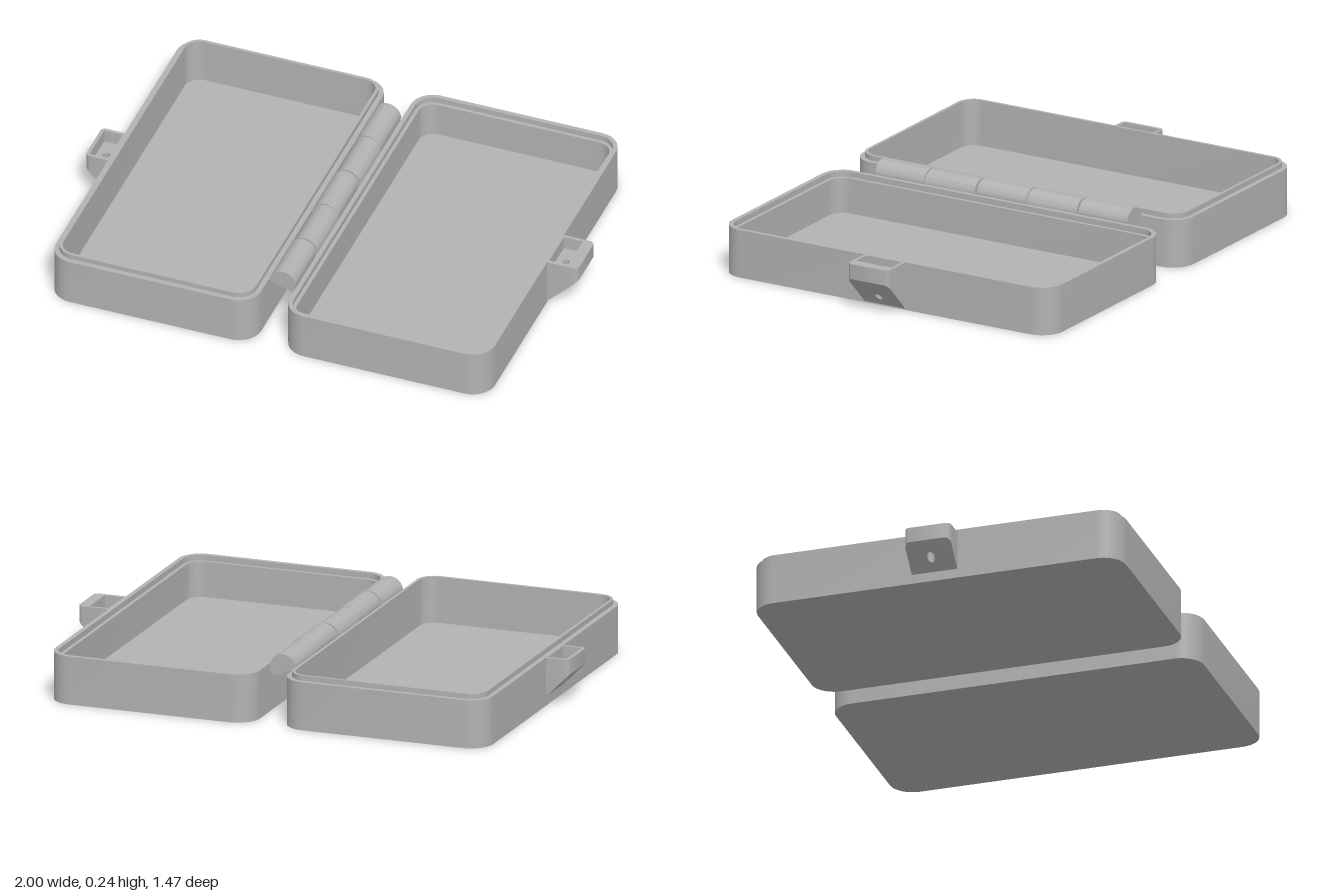
import * as THREE from 'three';
import { toCreasedNormals } from 'three/addons/utils/BufferGeometryUtils.js';

const HALF_W = 0.4165, HALF_L = 0.735, CORNER = 0.09, RIM = 0.19;

// Rounded rectangle ring at a given inset from the tray's outer wall
function ring(inset, y) {
  const points = [], steps = 10, r = CORNER - inset;
  for (let q = 0; q < 4; q++) {
    const sx = q === 0 || q === 3 ? 1 : -1, sz = q < 2 ? 1 : -1;
    for (let i = 0; i <= steps; i++) {
      const a = (q + i / steps) * Math.PI / 2;
      points.push([sx * (HALF_W - CORNER) + r * Math.cos(a), y, sz * (HALF_L - CORNER) + r * Math.sin(a)]);
    }
  }
  return points;
}

// Closed tray skin: the wall profile is swept round, with a fan for the bottom and floor
function trayGeometry(wall) {
  const floorY = 0.028, inner = 0.032;
  const rings = [[0, 0], ...wall, [inner, floorY]].map(([inset, y]) => ring(inset, y));
  const n = rings[0].length;
  rings.unshift(Array(n).fill([0, 0, 0]));
  rings.push(Array(n).fill([0, floorY, 0]));
  const pos = [];
  for (let k = 0; k < rings.length - 1; k++) {
    const a = rings[k], b = rings[k + 1];
    for (let j = 0; j < n; j++) {
      const m = (j + 1) % n;
      if (k > 0) pos.push(...a[j], ...b[j], ...a[m]);
      if (k < rings.length - 2) pos.push(...a[m], ...b[j], ...b[m]);
    }
  }
  const g = new THREE.BufferGeometry();
  g.setAttribute('position', new THREE.Float32BufferAttribute(pos, 3));
  return toCreasedNormals(g, 0.5);
}

// Hinge knuckle: round barrel with a 45 degree gusset back to a wall on its +x side
function knuckleGeometry(reach, length) {
  const r = 0.052;
  const s = new THREE.Shape();
  s.moveTo(reach, -Math.SQRT2 * r - reach);
  s.absarc(0, 0, r, Math.PI * 1.25, 0, true);
  s.lineTo(reach, 0);
  s.closePath();
  const g = new THREE.ExtrudeGeometry(s, { depth: length, bevelEnabled: false, curveSegments: 32 });
  g.translate(0, 0, -length / 2);
  return toCreasedNormals(g, 0.5);
}

// Latch outline seen from above, growing from the wall towards +x
function latchOutline(depth) {
  const w = 0.091, r = 0.02;
  const s = new THREE.Shape();
  s.moveTo(0, -w);
  s.lineTo(depth - r, -w);
  s.absarc(depth - r, -w + r, r, -Math.PI / 2, 0, false);
  s.absarc(depth - r, w - r, r, 0, Math.PI / 2, false);
  s.lineTo(0, w);
  s.closePath();
  return s;
}

function extrudeUp(shape, y0, y1) {
  const g = new THREE.ExtrudeGeometry(shape, { depth: y1 - y0, bevelEnabled: false, curveSegments: 10 });
  g.rotateX(-Math.PI / 2);
  g.translate(0, y0, 0);
  return g;
}

// Latch: pocketed top over a sloping base with a small through hole
function makeLatch(name, depth, material) {
  const latch = new THREE.Group();
  latch.name = name;
  const pocketFloor = 0.138;

  const rimShape = latchOutline(depth);
  const pocket = new THREE.Path();
  pocket.moveTo(0.004, -0.078);
  pocket.lineTo(0.004, 0.078);
  pocket.lineTo(0.08, 0.078);
  pocket.lineTo(0.08, -0.078);
  pocket.closePath();
  rimShape.holes.push(pocket);
  const rim = new THREE.Mesh(toCreasedNormals(extrudeUp(rimShape, pocketFloor, RIM), 0.5), material);
  rim.name = 'latchPocketRim';

  const baseShape = latchOutline(depth);
  const hole = new THREE.Path();
  hole.absarc(0.043, 0, 0.015, 0, Math.PI * 2, true);
  baseShape.holes.push(hole);
  const g = extrudeUp(baseShape, 0, pocketFloor);
  const p = g.attributes.position;
  for (let i = 0; i < p.count; i++) {
    if (p.getY(i) < 0.01) p.setY(i, 0.13 - (depth - p.getX(i)));
  }
  const base = new THREE.Mesh(toCreasedNormals(g, 0.5), material);
  base.name = 'latchSlopedBase';
  latch.add(rim, base);
  return latch;
}

export function createModel() {
  const model = new THREE.Group();
  model.name = 'openHingedCase';
  const grey = new THREE.MeshStandardMaterial({ color: 0xb2b2b2 });
  grey.name = 'plainGrey';

  const add = (name, geometry, x, y = 0, z = 0, turn = 0) => {
    const mesh = new THREE.Mesh(geometry, grey);
    mesh.name = name;
    mesh.position.set(x, y, z);
    mesh.rotation.y = turn;
    model.add(mesh);
  };

  // Tray with a raised sealing lip
  add('lippedTray', trayGeometry([[0, RIM], [0.02, RIM], [0.02, 0.21], [0.032, 0.21]]), -0.4905);
  // Tray with a matching rebate inside its rim
  add('rebatedTray', trayGeometry([[0, RIM], [0.018, RIM], [0.018, 0.168], [0.032, 0.168]]), 0.4585);

  // Interleaved hinge knuckles
  for (const z of [-0.4525, 0, 0.4525]) {
    add('lippedTrayKnuckle', knuckleGeometry(0.058, 0.217), -0.018, 0.185, z, Math.PI);
  }
  for (const z of [-0.2265, 0.2265]) {
    add('rebatedTrayKnuckle', knuckleGeometry(0.057, 0.221), -0.013, 0.185, z);
  }

  // Latches on the outer walls
  const leftLatch = makeLatch('leftLatch', 0.125, grey);
  leftLatch.position.x = 0.875;
  const rightLatch = makeLatch('rightLatch', 0.094, grey);
  rightLatch.position.x = -0.906;
  rightLatch.rotation.y = Math.PI;
  model.add(leftLatch, rightLatch);

  return model;
}
